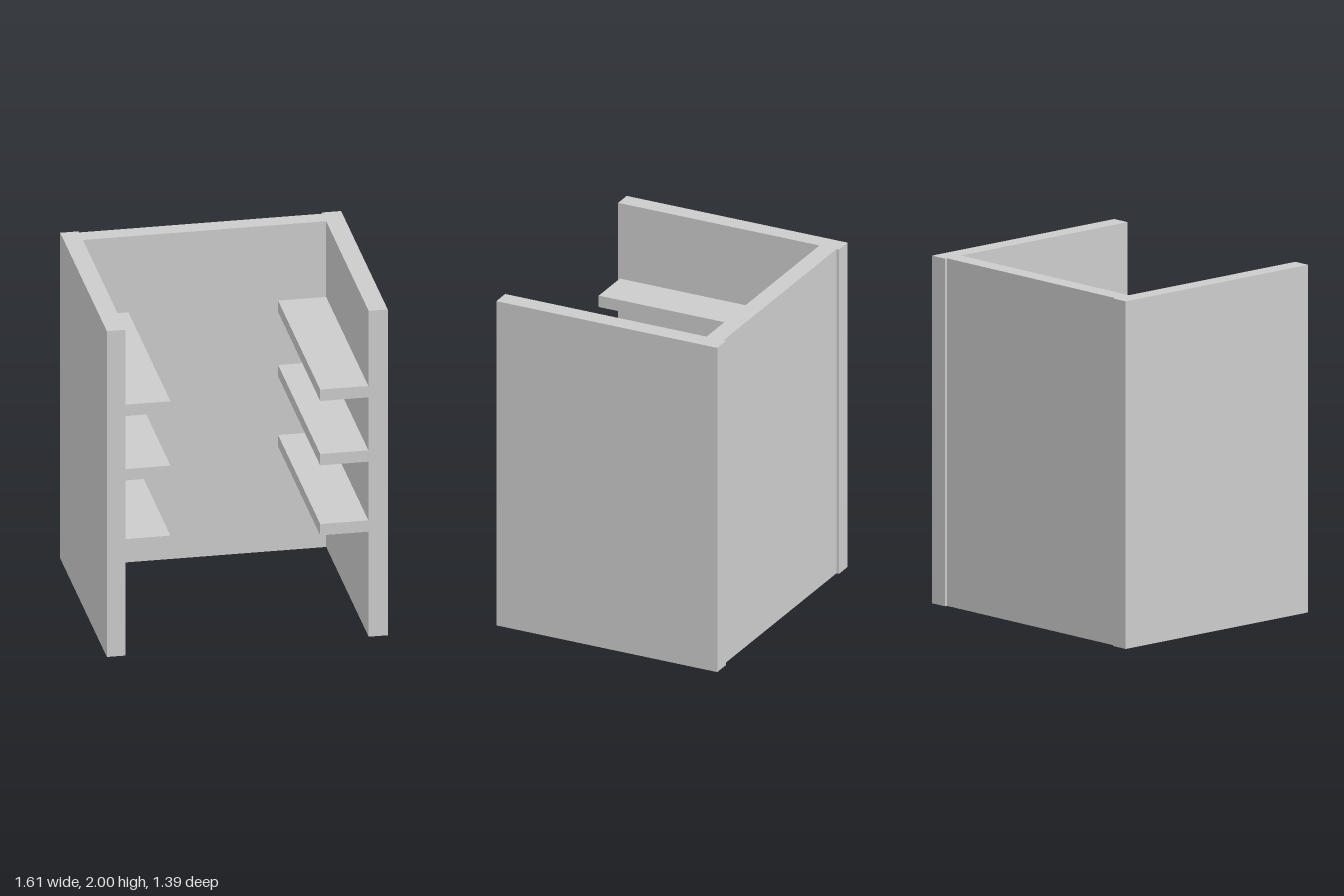
import * as THREE from 'three';

const material = new THREE.MeshStandardMaterial({ color: 0xcccccc, flatShading: true });

// Box given by its minimum and maximum along each axis
function slab(name, [x0, x1], [y0, y1], [z0, z1]) {
  const mesh = new THREE.Mesh(new THREE.BoxGeometry(x1 - x0, y1 - y0, z1 - z0), material);
  mesh.position.set((x0 + x1) / 2, (y0 + y1) / 2, (z0 + z1) / 2);
  mesh.name = name;
  return mesh;
}

export function createModel() {
  const model = new THREE.Group();
  model.name = 'openShelfUnit';

  const height = [0, 2];
  const rightInner = -0.697, leftInner = 0.694;

  // Side walls and the back wall set slightly in between them
  model.add(
    slab('rightWall', [-0.803, rightInner], height, [-0.697, 0.697]),
    slab('leftWall', [leftInner, 0.803], height, [-0.697, 0.697]),
    slab('backWall', [rightInner, leftInner], height, [-0.681, -0.574])
  );

  // Three narrow shelves along each side wall
  const depth = [-0.574, 0.686];
  [[0.64, 0.71], [1.07, 1.14], [1.465, 1.535]].forEach((level, i) => {
    model.add(
      slab(`rightShelf${i + 1}`, [rightInner, -0.437], level, depth),
      slab(`leftShelf${i + 1}`, [0.419, leftInner], level, depth)
    );
  });

  return model;
}
